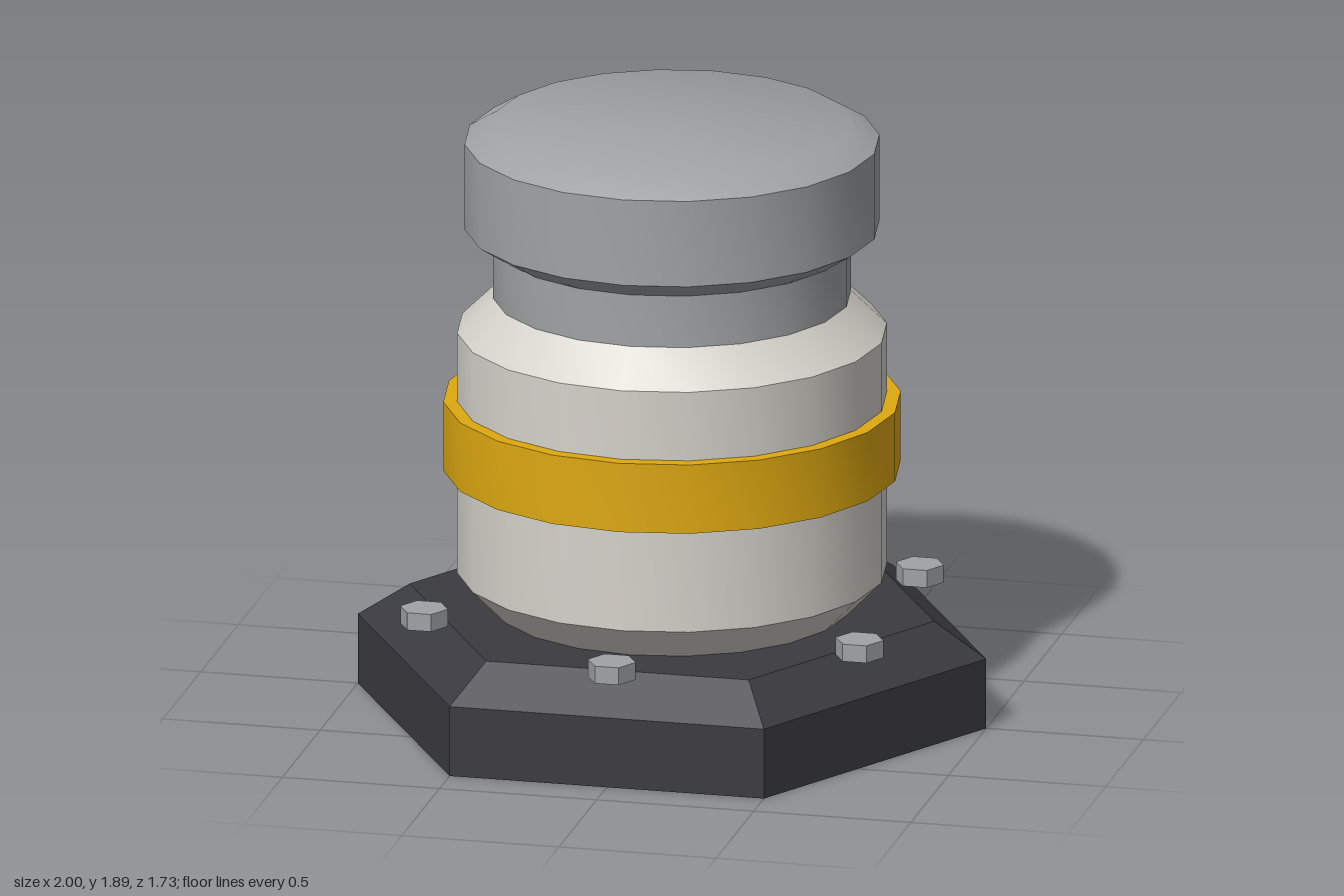
import * as THREE from 'three';
import { toCreasedNormals } from 'three/addons/utils/BufferGeometryUtils.js';

const material = (name, color) => {
  const m = new THREE.MeshStandardMaterial({ color });
  m.name = name;
  return m;
};

export function createModel() {
  const group = new THREE.Group();
  const charcoal = material('charcoal', 0x3a3a40);
  const offWhite = material('off white', 0xd4d2ca);
  const amber = material('amber', 0xdda810);
  const steel = material('steel', 0xa0a2a4);

  // Turned part: profile of [radius, y] from bottom to top
  function turned(name, mat, profile, sides, crease) {
    const points = profile.map(([r, y]) => new THREE.Vector2(r, y));
    const geo = new THREE.LatheGeometry(points, sides);
    geo.rotateY(Math.PI / 2); // put a corner on the x axis
    const mesh = new THREE.Mesh(toCreasedNormals(geo, crease), mat);
    mesh.name = name;
    group.add(mesh);
    return mesh;
  }

  // Hexagonal base plate with a bevelled top
  turned('basePlate', charcoal,
    [[0, 0], [1, 0], [1, 0.225], [0.835, 0.335], [0, 0.335]], 6, 0.1);

  // Main body, bevelled at both ends
  turned('body', offWhite,
    [[0, 0.333], [0.555, 0.333], [0.667, 0.447], [0.667, 1.225], [0.555, 1.335], [0, 1.335]], 20, 0.6);

  // Raised band around the body
  turned('band', amber,
    [[0.66, 0.78], [0.71, 0.78], [0.71, 1.003], [0.66, 1.003]], 20, 0.6);

  // Neck and overhanging cap
  turned('neck', steel, [[0.555, 1.33], [0.555, 1.505]], 20, 0.6);
  turned('cap', steel,
    [[0, 1.502], [0.555, 1.502], [0.644, 1.56], [0.644, 1.837], [0.555, 1.89], [0, 1.89]], 20, 0.6);

  // Six hexagonal bolts at the middle of each base edge
  for (let i = 0; i < 6; i++) {
    const a = Math.PI / 6 + (i * Math.PI) / 3;
    const bolt = turned('bolt', steel,
      [[0, 0.334], [0.076, 0.334], [0.076, 0.39], [0, 0.39]], 6, 0.1);
    bolt.position.set(0.8 * Math.cos(a), 0, 0.8 * Math.sin(a));
  }

  return group;
}
